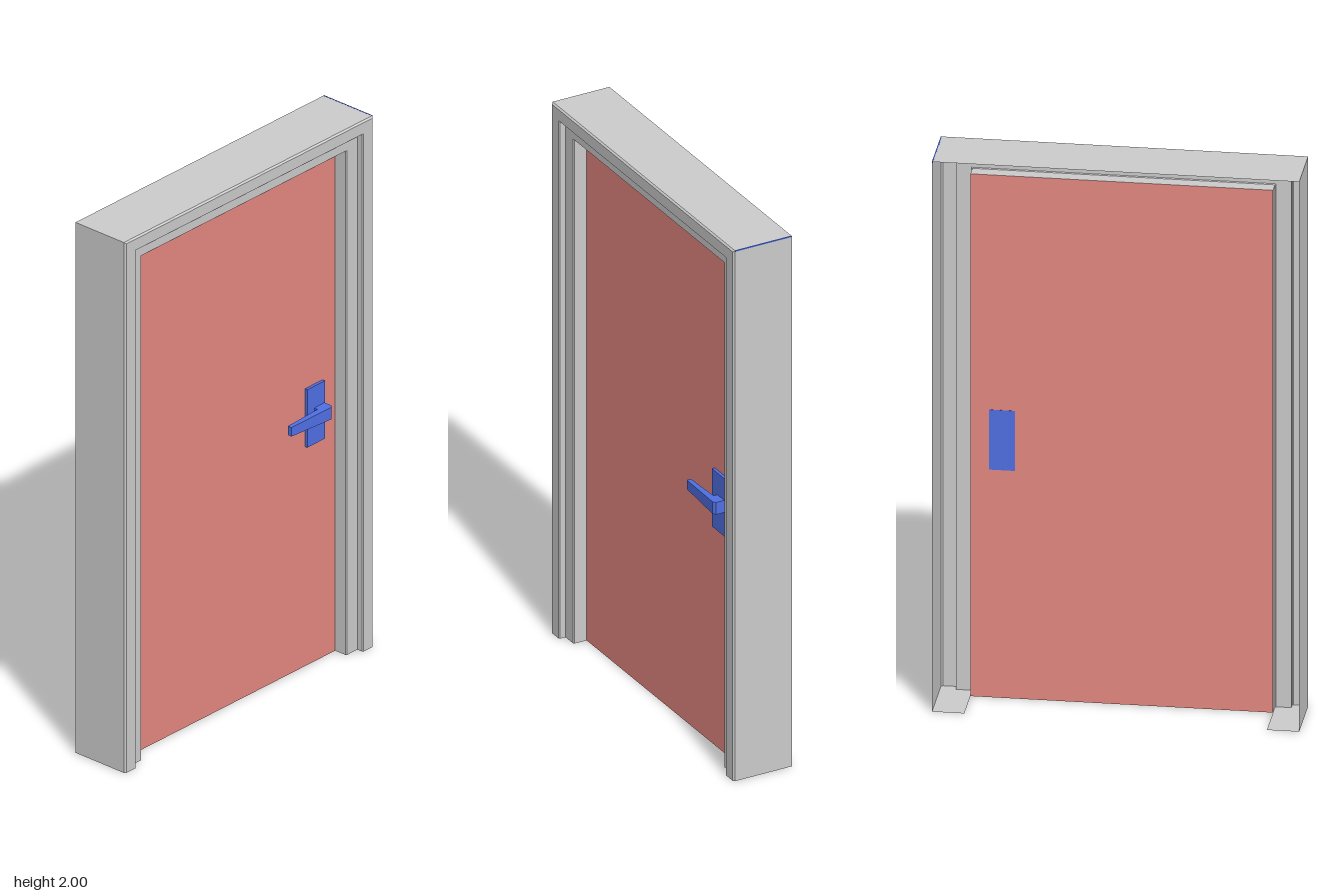
import * as THREE from 'three';

const grey = new THREE.MeshStandardMaterial({ color: 0xcccccc, flatShading: true, side: THREE.DoubleSide });
const red = new THREE.MeshStandardMaterial({ color: 0xe58881, side: THREE.DoubleSide });
const blue = new THREE.MeshStandardMaterial({ color: 0x5070e5, flatShading: true });

const HALF_W = 0.62, H = 2, BACK = -0.112, FRONT = 0.112, DOOR_Z = 0.037;

// Folded sheet section of the frame: [distance in from the outer edge, z]
const section = [
  [0, BACK], [0, 0.106], [0.006, FRONT], [0.051, FRONT], [0.054, 0.109],
  [0.054, 0.087], [0.106, 0.087], [0.109, 0.084], [0.109, DOOR_Z],
];
const inset = section[section.length - 1][0];
const topY = (d) => H - d * 0.92; // the head is slightly slimmer than the jambs

function add(group, name, geometry, material, x = 0, y = 0, z = 0) {
  const mesh = new THREE.Mesh(geometry, material);
  mesh.name = name;
  mesh.position.set(x, y, z);
  group.add(mesh);
  return mesh;
}

// Sweeps the section up one jamb, across the head and down the other jamb
function frameGeometry() {
  const stations = [
    ([d, z]) => [-HALF_W + d, 0, z],
    ([d, z]) => [-HALF_W + d, topY(d), z],
    ([d, z]) => [HALF_W - d, topY(d), z],
    ([d, z]) => [HALF_W - d, 0, z],
  ];
  const pos = [];
  for (let s = 0; s < 3; s++) {
    for (let i = 0; i < section.length - 1; i++) {
      const a = stations[s](section[i]), b = stations[s](section[i + 1]);
      const c = stations[s + 1](section[i + 1]), d = stations[s + 1](section[i]);
      pos.push(...a, ...b, ...c, ...a, ...c, ...d);
    }
  }
  const g = new THREE.BufferGeometry();
  g.setAttribute('position', new THREE.Float32BufferAttribute(pos, 3));
  g.computeVertexNormals();
  return g;
}

// Foot plate closing the bottom of a jamb
function footGeometry(side) {
  const pts = [...section, [inset, BACK]].map(([d, z]) => new THREE.Vector2(side * (HALF_W - d), z));
  return new THREE.ShapeGeometry(new THREE.Shape(pts)).rotateX(Math.PI / 2);
}

// Lever seen from above: neck at the right, arm running left, tapering in height
function leverGeometry() {
  const plan = new THREE.Shape([
    [0.245, 0.064], [0.395, 0.062], [0.395, 0.045], [0.445, 0.045], [0.445, 0.08], [0.435, 0.088], [0.245, 0.08],
  ].map(([x, z]) => new THREE.Vector2(x, -z)));
  const g = new THREE.ExtrudeGeometry(plan, { depth: 1, bevelEnabled: false });
  g.rotateX(-Math.PI / 2);
  const p = g.attributes.position;
  for (let i = 0; i < p.count; i++) {
    const height = THREE.MathUtils.mapLinear(p.getX(i), 0.245, 0.445, 0.034, 0.046);
    p.setY(i, 0.942 + (p.getY(i) - 0.5) * height);
  }
  g.computeVertexNormals();
  return g;
}

export function createModel() {
  const model = new THREE.Group();
  model.name = 'door';

  // Frame, open at the back
  const frame = new THREE.Group();
  frame.name = 'frame';
  add(frame, 'frameShell', frameGeometry(), grey);
  add(frame, 'leftFoot', footGeometry(1), grey);
  add(frame, 'rightFoot', footGeometry(-1), grey);
  // Thin strip along the upper left corner
  add(frame, 'cornerStrip', new THREE.BoxGeometry(0.004, 0.004, FRONT - BACK - 0.006), blue, HALF_W - 0.0015, H - 0.0015, -0.003);
  model.add(frame);

  // Door leaf
  const leafH = topY(inset);
  add(model, 'doorLeaf', new THREE.PlaneGeometry(2 * (HALF_W - inset), leafH), red, 0, leafH / 2, DOOR_Z);

  // Handle; its plate just shows through on the back of the leaf
  const handle = new THREE.Group();
  handle.name = 'handle';
  add(handle, 'backPlate', new THREE.BoxGeometry(0.088, 0.218, 0.012), blue, 0.404, 0.937, DOOR_Z + 0.005);
  add(handle, 'lever', leverGeometry(), blue);
  model.add(handle);

  return model;
}
